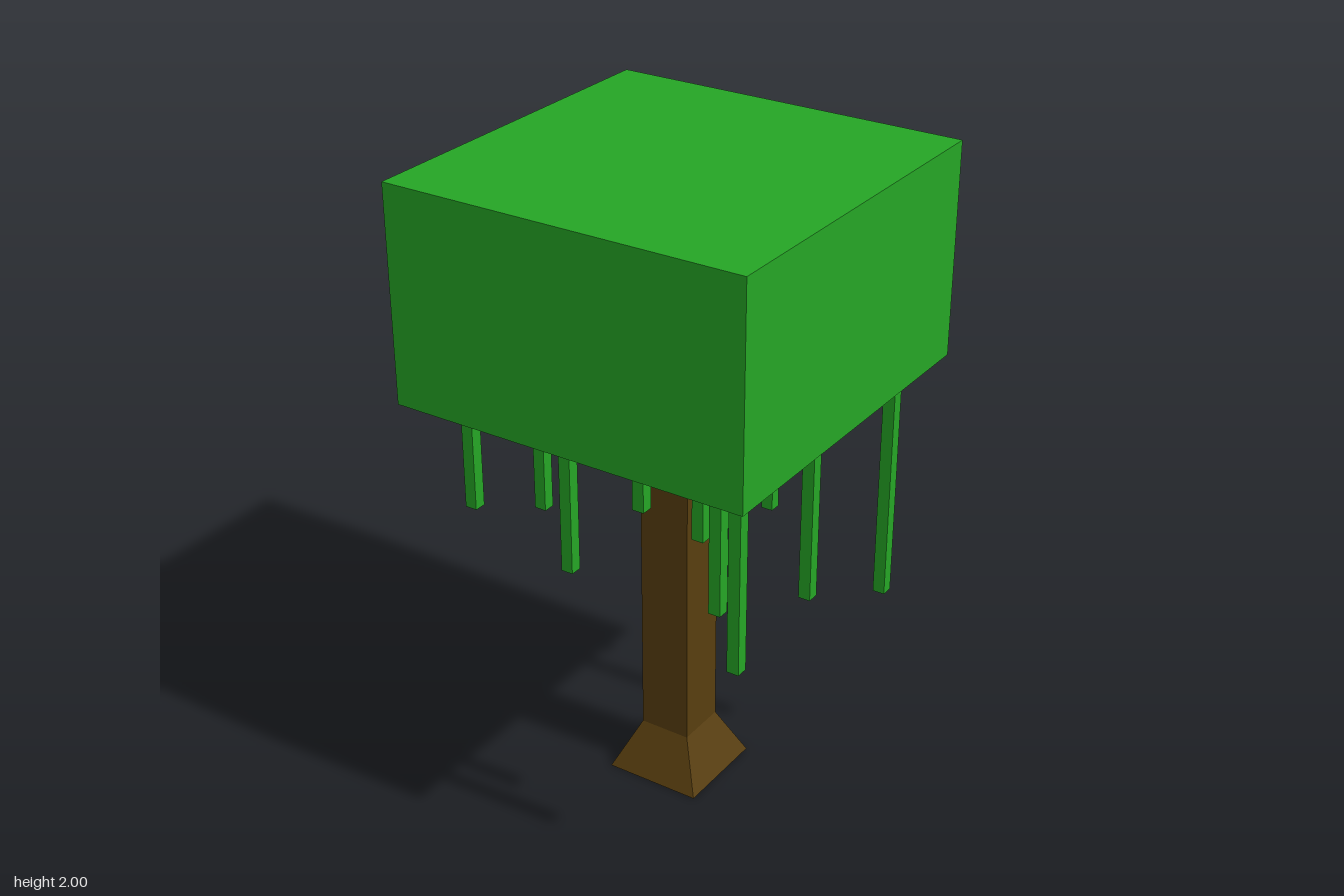
import * as THREE from 'three';

export function createModel() {
  const tree = new THREE.Group();
  tree.name = 'tree';

  const leaf = new THREE.MeshStandardMaterial({ color: 0x25a525 });
  leaf.name = 'leaf green';
  const bark = new THREE.MeshStandardMaterial({ color: 0x583e0f });
  bark.name = 'bark brown';

  // Box spanning bottom..top in height, centred on x and z
  const block = (name, material, width, bottom, top, x = 0, z = 0) => {
    const mesh = new THREE.Mesh(new THREE.BoxGeometry(width, top - bottom, width), material);
    mesh.position.set(x, (bottom + top) / 2, z);
    mesh.name = name;
    tree.add(mesh);
    return mesh;
  };

  const canopyBottom = 1.34;
  const trunkWidth = 0.164;
  const rootWidth = 0.31;

  block('canopy', leaf, 1.136, canopyBottom, 2);
  block('trunk', bark, trunkWidth, 0.158, canopyBottom);

  // Flared foot: a box whose upper corners are drawn in to the trunk
  const foot = block('trunkFoot', bark, rootWidth, 0, 0.158);
  const p = foot.geometry.attributes.position;
  for (let i = 0; i < p.count; i++) {
    if (p.getY(i) > 0) {
      p.setX(i, Math.sign(p.getX(i)) * trunkWidth / 2);
      p.setZ(i, Math.sign(p.getZ(i)) * trunkWidth / 2);
    }
  }
  foot.geometry.computeVertexNormals();

  // Hanging vines: x, z, height of the lower end
  const vines = [
    [-0.445, 0.405, 0.975], [-0.37, 0.175, 0.885], [-0.37, -0.417, 0.845],
    [-0.37, -0.157, 1.045], [-0.145, 0.35, 0.83], [-0.15, -0.205, 1.045],
    [0.08, 0.312, 1.085], [0.068, -0.413, 0.742], [0.22, 0.222, 0.99],
    [0.235, -0.157, 1.125], [0.362, 0.355, 0.865], [0.457, 0.022, 0.775],
    [0.477, 0.44, 0.762], [0.518, -0.325, 0.637],
  ];
  vines.forEach(([x, z, end], i) => block(`vine${i + 1}`, leaf, 0.038, end, canopyBottom, x, z));

  return tree;
}
